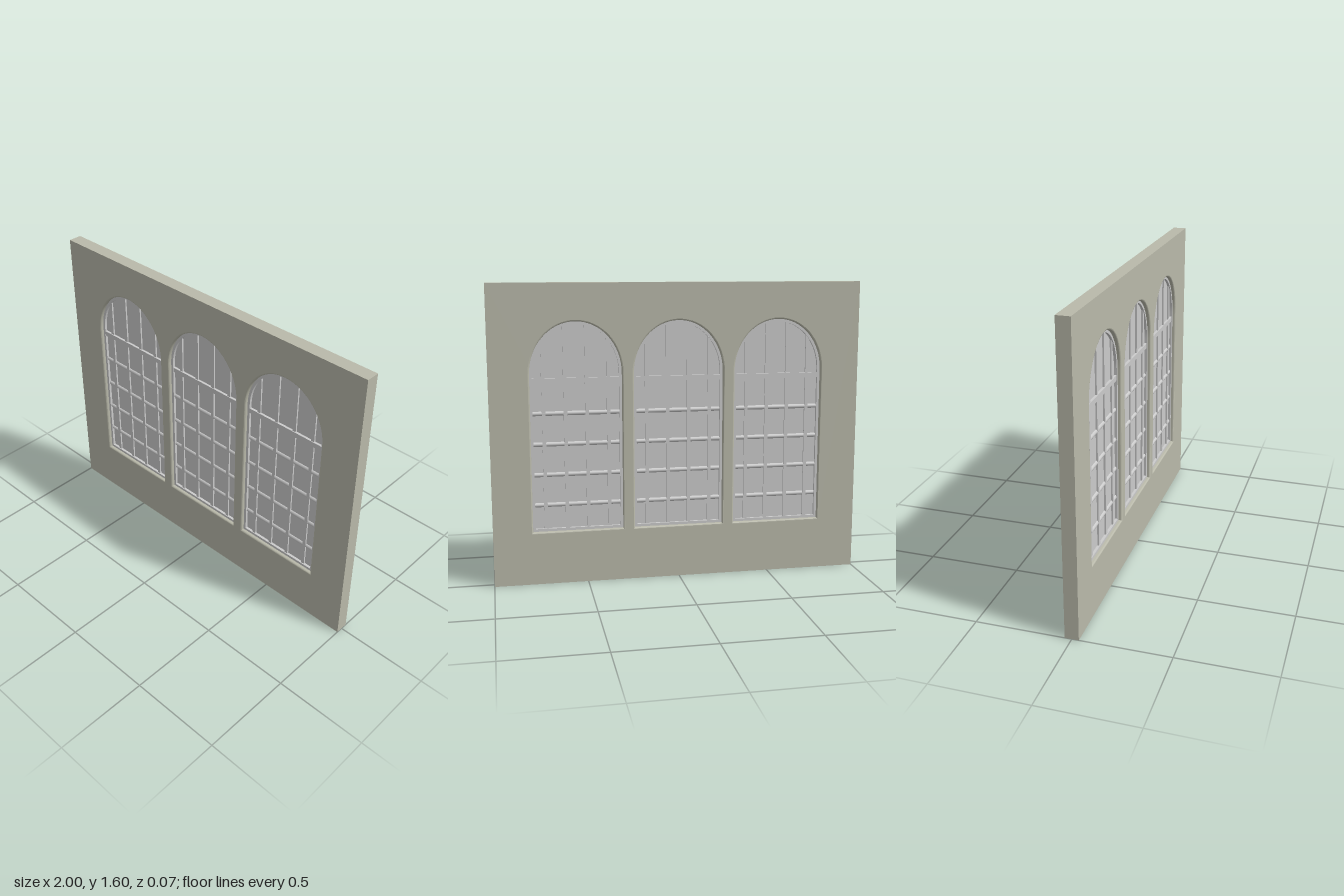
import * as THREE from 'three';
import { toCreasedNormals } from 'three/addons/utils/BufferGeometryUtils.js';

const HALF = 0.25, SILL = 0.278, SPRING = 1.13, RISE = 0.28; // arched opening
const T = 0.036, ROUND = 0.008;                              // wall half depth, edge rounding
const wallMat = new THREE.MeshStandardMaterial({ color: 0xb9b9aa });
const grey = new THREE.MeshStandardMaterial({ color: 0xcccccc });

// Arched outline, counter-clockwise, inset by o
function outline(o, cx = 0) {
  const w = HALF - o;
  const pts = [new THREE.Vector2(cx - w, SILL + o), new THREE.Vector2(cx + w, SILL + o)];
  for (let i = 0; i <= 32; i++) {
    const a = Math.PI * i / 32;
    pts.push(new THREE.Vector2(cx + w * Math.cos(a), SPRING + (RISE - o) * Math.sin(a)));
  }
  return pts;
}

function slab(shape, depth) {
  return new THREE.ExtrudeGeometry(shape, { depth, bevelEnabled: false }).translate(0, 0, -depth / 2);
}

function add(group, name, geometry, material, x = 0, y = 0, z = 0) {
  const mesh = new THREE.Mesh(geometry, material);
  mesh.name = name;
  mesh.position.set(x, y, z);
  group.add(mesh);
  return mesh;
}

// Inside face of the opening, rounded over at both wall faces
function revealGeometry() {
  const profile = [];
  for (let i = 0; i <= 4; i++) {
    const a = Math.PI / 2 * i / 4;
    profile.push([ROUND * Math.sin(a), T - ROUND * (1 - Math.cos(a))]);
  }
  for (let i = 4; i >= 0; i--) profile.push([profile[i][0], -profile[i][1]]);
  const pos = [], index = [];
  let n = 0;
  for (const [o, z] of profile) {
    const ring = outline(o);
    n = ring.length;
    for (const p of ring) pos.push(p.x, p.y, z);
  }
  for (let r = 0; r < profile.length - 1; r++) {
    for (let i = 0; i < n; i++) {
      const a = r * n + i, b = r * n + (i + 1) % n;
      index.push(a, b, a + n, b, b + n, a + n);
    }
  }
  const g = new THREE.BufferGeometry();
  g.setAttribute('position', new THREE.Float32BufferAttribute(pos, 3));
  g.setIndex(index);
  return toCreasedNormals(g, 0.7);
}

function createWindow() {
  const win = new THREE.Group();
  add(win, 'reveal', revealGeometry(), wallMat);

  // Frame and pane
  const ring = new THREE.Shape(outline(ROUND));
  ring.holes.push(new THREE.Path(outline(0.022)));
  add(win, 'frame', toCreasedNormals(slab(ring, 0.034), 0.6), grey);
  add(win, 'pane', slab(new THREE.Shape(outline(0.015)), 0.006), grey);

  // Transom below the arch
  const inner = HALF - 0.016;
  add(win, 'transom', new THREE.BoxGeometry(inner * 2, 0.027, 0.032), grey, 0, 1.094, 0);

  // Upright bars, cut to the arch
  for (const x of [-0.171, -0.057, 0.057, 0.171]) {
    const top = SPRING + (RISE - 0.016) * Math.sqrt(1 - (x / inner) ** 2);
    const bottom = SILL + 0.015;
    add(win, 'uprightBar', new THREE.BoxGeometry(0.019, top - bottom, 0.024), grey, x, (top + bottom) / 2, 0);
  }

  // Round cross bars
  const bar = new THREE.CylinderGeometry(0.0125, 0.0125, inner * 2, 12).rotateZ(Math.PI / 2);
  for (const y of [0.428, 0.592, 0.756, 0.92]) add(win, 'crossBar', bar, grey, 0, y, 0);
  return win;
}

export function createModel() {
  const model = new THREE.Group();
  model.name = 'archedWindowWall';
  const centres = [-0.547, 0, 0.547];

  // Wall panel with three arched openings
  const panel = new THREE.Shape([[-1, 0], [1, 0], [1, 1.6], [-1, 1.6]].map(p => new THREE.Vector2(...p)));
  for (const x of centres) panel.holes.push(new THREE.Path(outline(0, x)));
  // Only the faces and outer sides show; the reveals cover the openings
  add(model, 'wall', slab(panel, T * 2), wallMat);

  centres.forEach((x, i) => {
    const win = createWindow();
    win.name = ['rightWindow', 'middleWindow', 'leftWindow'][i];
    win.position.x = x;
    model.add(win);
  });
  return model;
}
